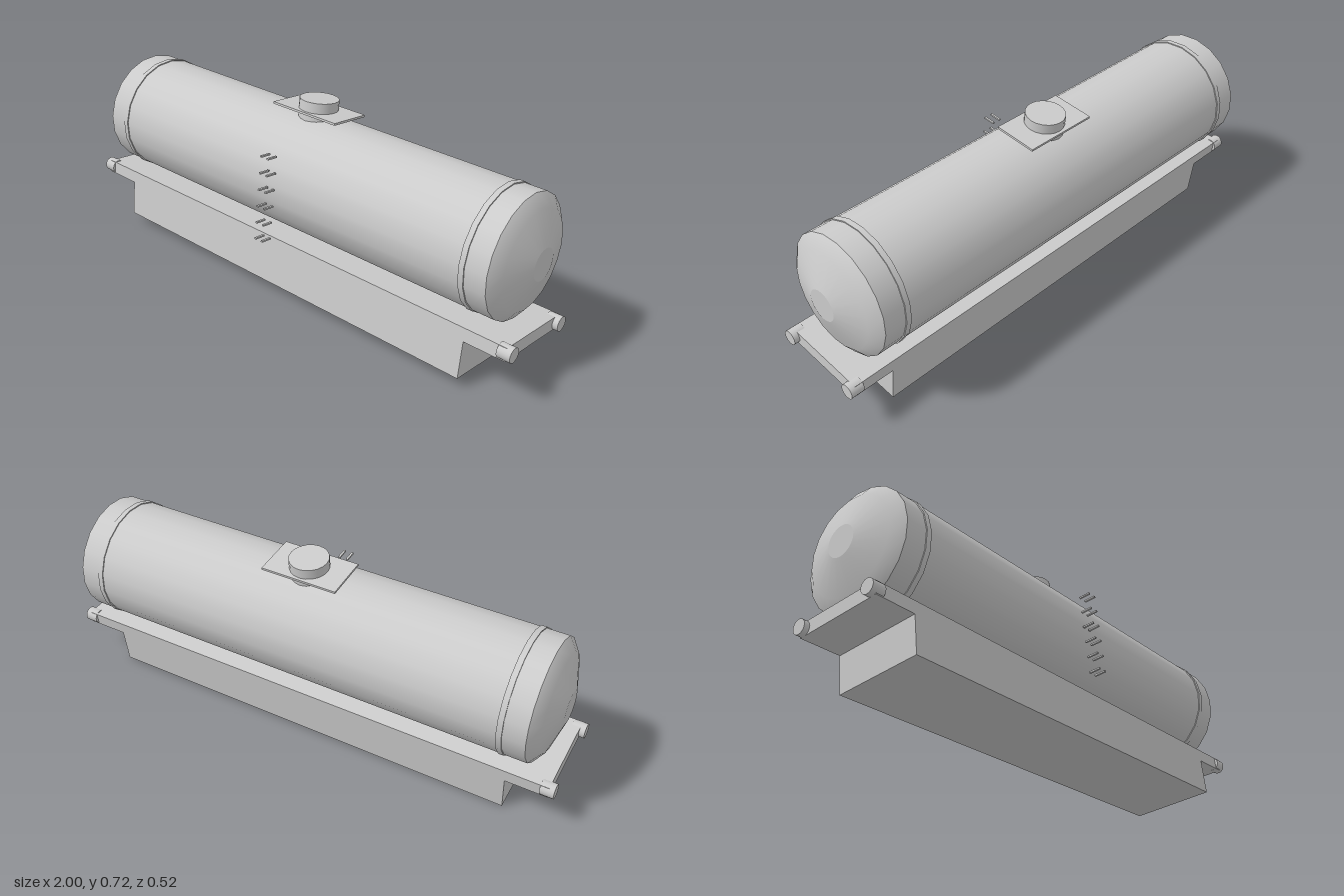
import * as THREE from 'three';

const grey = new THREE.MeshStandardMaterial({ color: 0xcccccc });
const greyThin = new THREE.MeshStandardMaterial({ color: 0xcccccc, side: THREE.DoubleSide });
const SIDES = 20;
const AXIS_Y = 0.42;   // height of the tank axis above the chassis bottom
const TANK_R = 0.222;

function add(parent, name, geometry, x = 0, y = 0, z = 0, material = grey) {
  const mesh = new THREE.Mesh(geometry, material);
  mesh.name = name;
  mesh.position.set(x, y, z);
  parent.add(mesh);
  return mesh;
}

// Surface of revolution about the x axis from [x, radius] pairs
function latheX(profile) {
  const points = profile.map(([x, r]) => new THREE.Vector2(r, x));
  return new THREE.LatheGeometry(points, SIDES).rotateZ(-Math.PI / 2);
}

export function createModel() {
  const model = new THREE.Group();
  model.name = 'tankBody';

  // The whole assembly leans back slightly
  const body = new THREE.Group();
  body.name = 'tiltedAssembly';
  body.rotation.x = -0.122;
  body.position.set(0, 0.02, 0.019);
  model.add(body);

  // Chassis box and the platform on top of it
  add(body, 'chassisBox', new THREE.BoxGeometry(1.65, 0.139, 0.33), 0, 0.0695, 0);
  add(body, 'platform', new THREE.BoxGeometry(1.96, 0.049, 0.33), 0, 0.1635, 0);

  // Round buffers at the four platform corners
  for (const sx of [-1, 1]) {
    for (const sz of [-1, 1]) {
      const buffer = new THREE.CylinderGeometry(0.027, 0.027, 0.05, SIDES).rotateZ(Math.PI / 2);
      add(body, 'buffer', buffer, sx * 0.975, 0.165, sz * 0.149);
    }
  }

  // Tank shell
  const tank = new THREE.Group();
  tank.name = 'tank';
  tank.position.y = AXIS_Y;
  body.add(tank);
  add(tank, 'shell', latheX([[-0.9, TANK_R], [0.9, TANK_R]]), 0, 0, 0, greyThin);

  // Domed ends with a flat centre, and a thin band near each end
  for (const side of [1, -1]) {
    const end = new THREE.Group();
    end.name = side > 0 ? 'leftEnd' : 'rightEnd';
    if (side < 0) end.rotation.y = Math.PI;
    tank.add(end);
    add(end, 'dome', latheX([[0.9, TANK_R], [0.932, 0.178], [0.968, 0.0575]]));
    add(end, 'endDisc', new THREE.CircleGeometry(0.0575, SIDES).rotateY(Math.PI / 2), 0.968);
    const band = new THREE.CylinderGeometry(0.226, 0.226, 0.02, SIDES, 1, false).rotateZ(-Math.PI / 2);
    add(end, 'band', band, 0.81);
  }

  // Filling hatch with its walkway plate
  add(body, 'hatch', new THREE.CylinderGeometry(0.072, 0.072, 0.09, SIDES), 0, 0.656, 0);
  add(body, 'hatchPlate', new THREE.BoxGeometry(0.294, 0.008, 0.165), 0, 0.659, 0);

  // Pairs of small ladder pegs on the front
  for (let i = 0; i < 6; i++) {
    for (const sx of [-1, 1]) {
      add(body, 'ladderPeg', new THREE.BoxGeometry(0.008, 0.006, 0.044), sx * 0.016, 0.2165 + i * 0.063, 0.247);
    }
  }
  return model;
}
